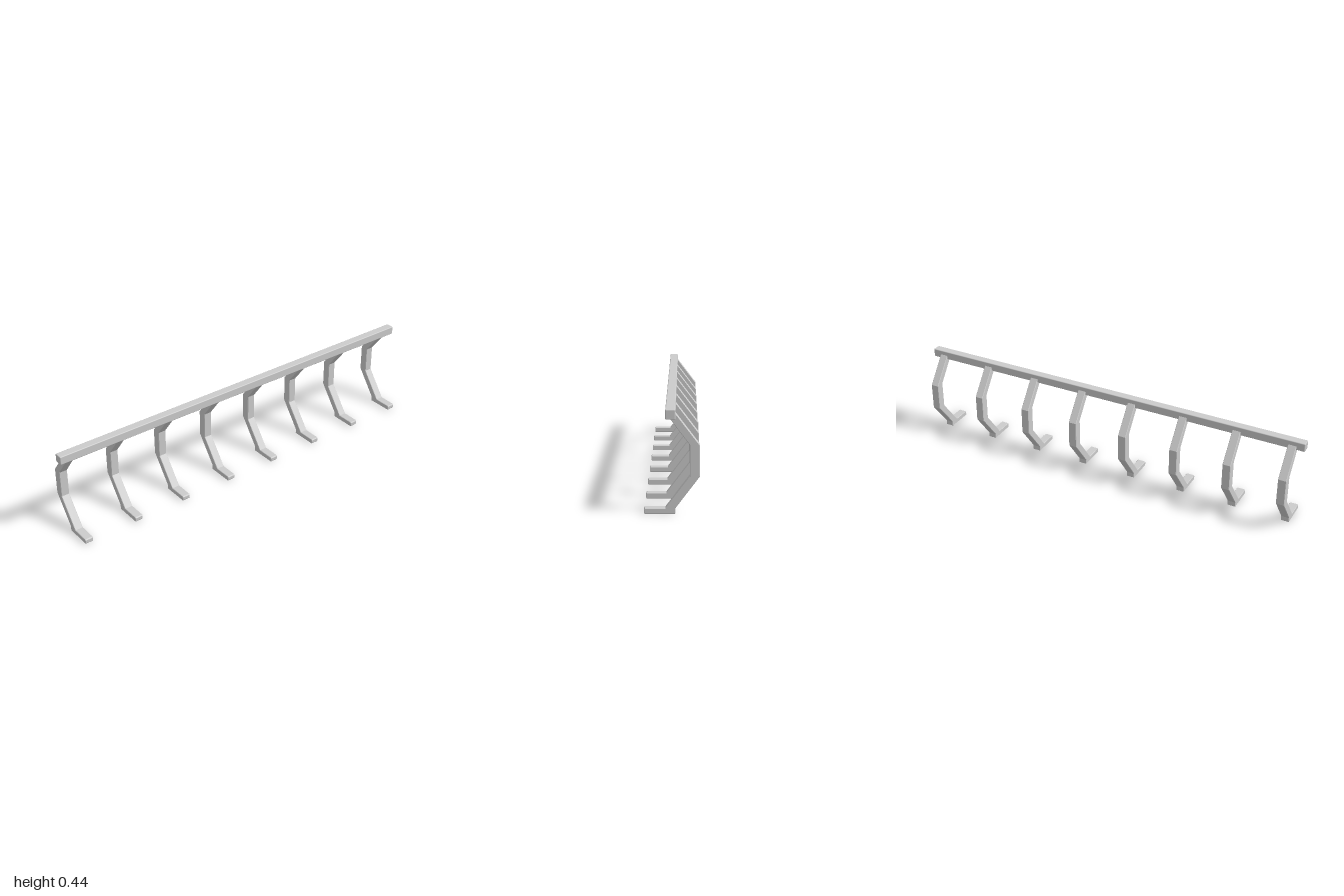
import * as THREE from 'three';
import { RoundedBoxGeometry } from 'three/addons/geometries/RoundedBoxGeometry.js';

const TINES = 8, REACH = 0.94, WIDTH = 0.04, BEVEL = 0.002;

// Side outline of a tine as [z, y]: flat foot, rising shank, upright back, return to the bar
const OUTLINE = [
  [0.112, 0], [0.115, 0.004], [0.115, 0.019], [0.111, 0.024],
  [0.027, 0.024], [-0.073, 0.157], [-0.073, 0.288], [0.025, 0.419],
  [-0.014, 0.419], [-0.114, 0.288], [-0.114, 0.157],
  [-0.014, 0.024], [-0.014, 0.002], [-0.012, 0],
];

function tineGeometry() {
  const shape = new THREE.Shape(OUTLINE.map(([z, y]) => new THREE.Vector2(z, y)));
  const geometry = new THREE.ExtrudeGeometry(shape, {
    depth: WIDTH - 2 * BEVEL,
    bevelEnabled: true, bevelSegments: 1,
    bevelSize: BEVEL, bevelThickness: BEVEL, bevelOffset: -BEVEL,
  });
  geometry.translate(0, 0, BEVEL - WIDTH / 2);
  geometry.rotateY(-Math.PI / 2); // outline x becomes model z
  return geometry;
}

export function createModel() {
  const group = new THREE.Group();
  group.name = 'tineRack';
  const material = new THREE.MeshStandardMaterial({ color: 0xcccccc });

  // Long top bar
  const bar = new THREE.Mesh(new RoundedBoxGeometry(2, 0.041, 0.041, 2, 0.004), material);
  bar.name = 'topBar';
  bar.position.set(0, 0.42, 0.0065);
  group.add(bar);

  // Evenly spaced bent tines
  const geometry = tineGeometry();
  for (let i = 0; i < TINES; i++) {
    const tine = new THREE.Mesh(geometry, material);
    tine.name = `tine${i + 1}`;
    tine.position.x = -REACH + (2 * REACH * i) / (TINES - 1);
    group.add(tine);
  }
  return group;
}
